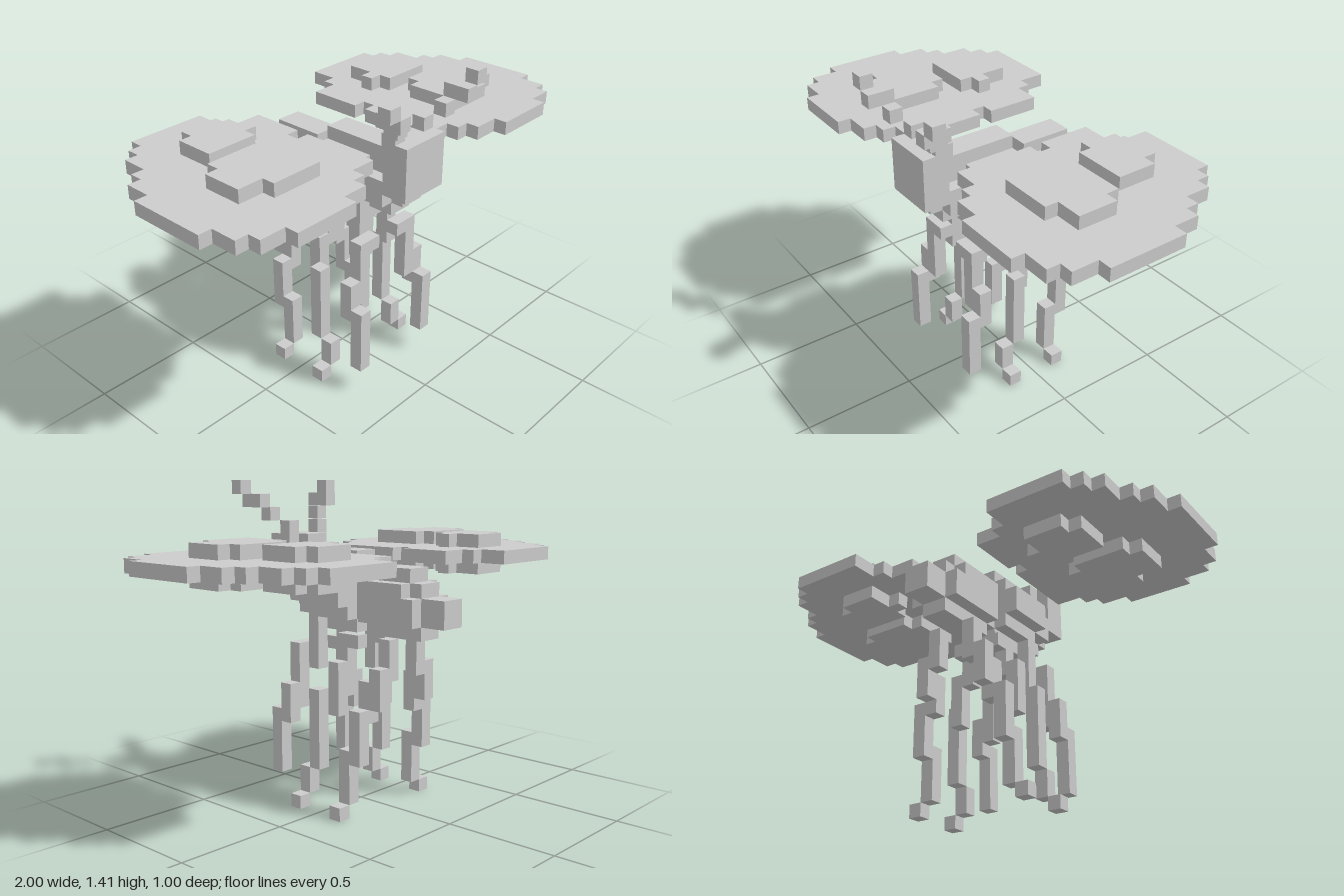
import * as THREE from 'three';

const U = 1 / 17; // one block
const grey = new THREE.MeshStandardMaterial({ color: 0xcccccc });
grey.name = 'plain grey';

// Box spanning block coordinates; z is counted in blocks from the tail end
function block(parent, name, [x0, x1], [y0, y1], [z0, z1]) {
  const g = new THREE.BoxGeometry((x1 - x0) * U, (y1 - y0) * U, (z1 - z0) * U);
  g.translate((x0 + x1) / 2 * U, (y0 + y1) / 2 * U, (z0 + z1) / 2 * U - 0.5);
  const m = new THREE.Mesh(g, grey);
  m.name = name;
  parent.add(m);
}

// Stepped slab: one [inner, outer] span per row of blocks, extruded upwards
function slab(parent, name, rows, z0, y0, y1, side) {
  const outer = [], inner = [];
  rows.forEach(([a, b], i) => {
    for (const z of [z0 + i, z0 + i + 1]) {
      outer.push(new THREE.Vector2(side * b * U, 0.5 - z * U));
      inner.push(new THREE.Vector2(side * a * U, 0.5 - z * U));
    }
  });
  const shape = new THREE.Shape([...outer, ...inner.reverse()]);
  const g = new THREE.ExtrudeGeometry(shape, { depth: (y1 - y0) * U, bevelEnabled: false });
  g.rotateX(-Math.PI / 2);
  g.translate(0, y0 * U, 0);
  const m = new THREE.Mesh(g, grey);
  m.name = name;
  parent.add(m);
}

const wingRows = [
  [6, 12], [6, 13], [5, 14], [3, 14], [3, 15], [3, 16], [3, 16], [4, 17], [3, 17],
  [3, 17], [3, 17], [3, 17], [3, 17], [3, 16], [5, 16], [6, 15], [8, 13],
];
const rearSpot = [[7, 10], [7, 11], [6, 11], [7, 11]];
const frontSpot = [[8, 12], [7, 13], [7, 13], [7, 13], [7, 11]];

// Leg pieces: x column, y range, z row
const legs = {
  frontLeg: [[1, 10, 14, 11], [1, 11, 12, 12], [2, 9, 12, 12], [2, 7, 9, 12], [3, 6, 9, 12], [3, 2, 7, 13]],
  middleLeg: [[1, 12, 13, 7], [1, 10, 13, 8], [2, 7, 11, 8], [3, 3, 9, 9], [3, 1, 3, 10], [4, 0, 1, 10]],
  rearLeg: [[1, 10, 13, 4], [2, 8, 11, 4], [2, 7, 10, 5], [3, 4, 8, 5], [3, 1, 5, 6], [4, 0, 1, 6]],
};

export function createModel() {
  const model = new THREE.Group();
  model.name = 'butterfly';

  // Body, from tail to head: half width, y range, z range
  const body = new THREE.Group();
  body.name = 'body';
  model.add(body);
  const parts = [
    ['tail', 1, 14, 16, 0, 2],
    ['abdomen', 2, 14, 16, 2, 7],
    ['abdomenTop', 1, 16, 17, 2, 3],
    ['abdomenTop', 2, 16, 17, 3, 7],
    ['abdomenRidge', 1, 17, 18, 3, 7],
    ['belly', 1, 13, 14, 2, 7],
    ['waist', 1, 14, 17, 7, 8],
    ['breast', 1, 13, 14, 8, 12],
    ['thorax', 2, 14, 18, 8, 12],
    ['thoraxSides', 3, 15, 17, 8, 12],
    ['thoraxRidge', 1, 18, 19, 8, 12],
    ['neck', 1, 14, 19, 12, 14],
    ['neckSides', 2, 15, 17, 12, 14],
    ['nape', 1, 19, 20, 13, 14],
    ['head', 2, 16, 20, 14, 16],
    ['chin', 1, 15, 16, 14, 15],
  ];
  for (const [name, w, y0, y1, z0, z1] of parts) block(body, name, [-w, w], [y0, y1], [z0, z1]);

  for (const side of [1, -1]) {
    const label = side > 0 ? 'left' : 'right';
    const span = (a, b) => (side > 0 ? [a, b] : [-b, -a]);

    // Wing with raised spots above and below
    const wing = new THREE.Group();
    wing.name = label + 'Wing';
    slab(wing, 'wingPlate', wingRows, 0, 18, 19, side);
    for (const y of [17, 19]) {
      slab(wing, 'rearSpot', rearSpot, 3, y, y + 1, side);
      slab(wing, 'frontSpot', frontSpot, 8, y, y + 1, side);
    }
    // Reversed outlines are re-wound by the extrusion, so both sides face outwards
    model.add(wing);

    // Legs
    for (const [name, pieces] of Object.entries(legs)) {
      const leg = new THREE.Group();
      leg.name = label + name[0].toUpperCase() + name.slice(1);
      for (const [x, y0, y1, z] of pieces) block(leg, 'legSegment', span(x, x + 1), [y0, y1], [z, z + 1]);
      model.add(leg);
    }

    // Antenna climbing outwards and forwards
    const antenna = new THREE.Group();
    antenna.name = label + 'Antenna';
    [[1, 20, 14, 15], [2, 21, 15, 16], [3, 22, 15, 17], [4, 23, 16, 17]].forEach(([x, y, z0, z1]) =>
      block(antenna, 'antennaSegment', span(x, x + 1), [y, y + 1], [z0, z1]));
    model.add(antenna);
  }
  return model;
}
